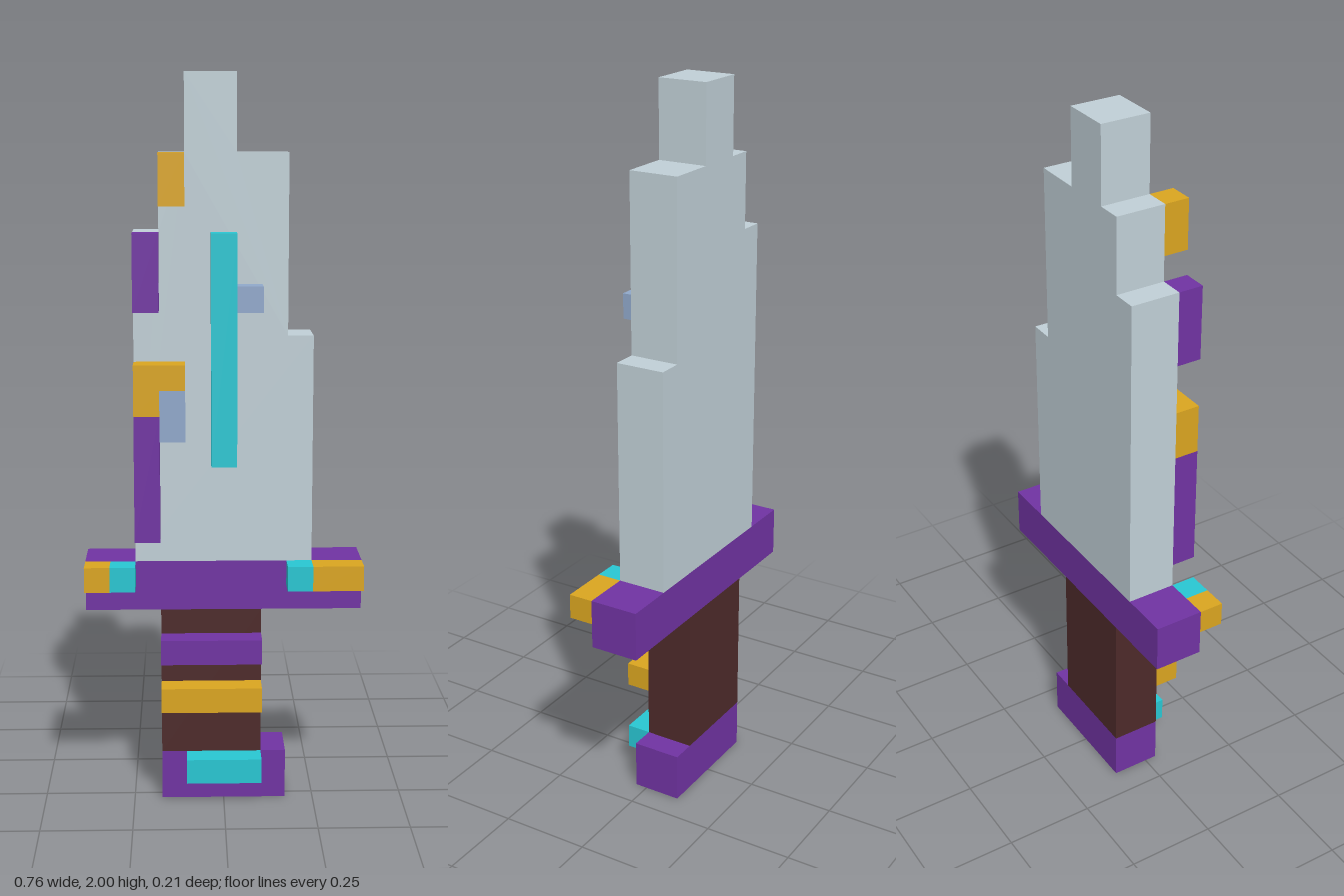
import * as THREE from 'three';

const U = 2 / 29; // size of one block

const mat = (name, color) => Object.assign(new THREE.MeshStandardMaterial({ color }), { name });

export function createModel() {
  const steel = mat('steel', 0xc0cfd6);
  const purple = mat('purple', 0x7033a2);
  const gold = mat('gold', 0xdaa520);
  const teal = mat('teal', 0x28c6d2);
  const slate = mat('slate blue', 0x90a8ca);
  const brown = mat('dark brown', 0x4d2a2a);
  const group = new THREE.Group();
  group.name = 'dagger';

  // Block coordinates: x 0..11, y 0..29, z 0..3 (body uses 0..2, ornaments 2..3)
  const X = (i) => (i - 5.5) * U;
  const Z = (k) => (k - 1.5) * U;

  function box(name, material, x0, x1, y0, y1, z0, z1) {
    const mesh = new THREE.Mesh(
      new THREE.BoxGeometry((x1 - x0) * U, (y1 - y0) * U, (z1 - z0) * U), material);
    mesh.position.set(X((x0 + x1) / 2), (y0 + y1) / 2 * U, Z((z0 + z1) / 2));
    mesh.name = name;
    group.add(mesh);
  }
  const body = (name, material, x0, x1, y0, y1) => box(name, material, x0, x1, y0, y1, 0, 2);
  const ornament = (name, material, x0, x1, y0, y1) => box(name, material, x0, x1, y0, y1, 2, 3);

  // Stepped outline pushed back to front
  function plate(name, material, points, z0, z1) {
    const shape = new THREE.Shape(points.map(([i, j]) => new THREE.Vector2(X(i), j * U)));
    const geometry = new THREE.ExtrudeGeometry(shape, { depth: (z1 - z0) * U, bevelEnabled: false });
    const mesh = new THREE.Mesh(geometry, material);
    mesh.position.z = Z(z0);
    mesh.name = name;
    group.add(mesh);
  }

  // Blade, guard, grip and pommel
  plate('blade', steel, [[2, 10], [9, 10], [9, 19], [8, 19], [8, 26], [6, 26],
    [6, 29], [4, 29], [4, 26], [3, 26], [3, 23], [2, 23]], 0, 2);
  body('guard', purple, 0, 11, 8, 10);
  body('grip', brown, 3, 7, 2, 8);
  body('pommel', purple, 3, 8, 0, 2);

  // Ornaments on the blade
  ornament('upperEdgeGold', gold, 3, 4, 24, 26);
  ornament('upperEdgePurple', purple, 2, 3, 20, 23);
  plate('edgeGoldCorner', gold, [[2, 16], [3, 16], [3, 17], [4, 17], [4, 18], [2, 18]], 2, 3);
  ornament('edgeSlate', slate, 3, 4, 15, 17);
  ornament('lowerEdgePurple', purple, 2, 3, 11, 16);
  ornament('bladeCore', teal, 5, 6, 14, 23);
  ornament('coreSlate', slate, 6, 7, 20, 21);

  // Ornaments on the guard
  ornament('guardGoldRight', gold, 0, 1, 9, 10);
  ornament('guardGemRight', teal, 1, 2, 9, 10);
  ornament('guardGemLeft', teal, 8, 9, 9, 10);
  ornament('guardGoldLeft', gold, 9, 11, 9, 10);

  // Grip bands and pommel gem
  ornament('gripBandPurple', purple, 3, 7, 6, 7);
  ornament('gripBandGold', gold, 3, 7, 4, 5);
  ornament('pommelGem', teal, 4, 7, 1, 2);

  return group;
}
